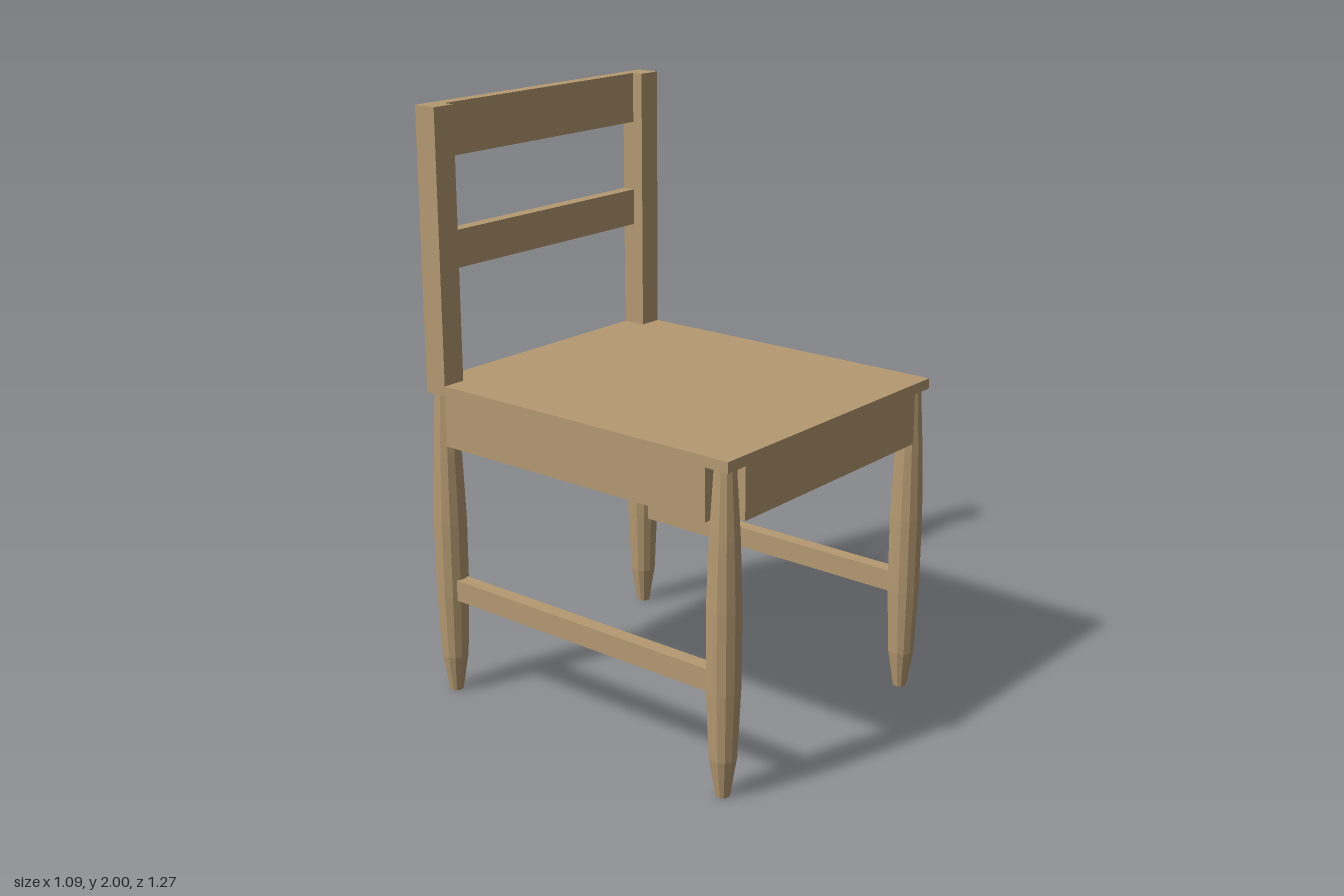
import * as THREE from 'three';

export function createModel() {
  const model = new THREE.Group();
  model.name = 'chair';
  const wood = new THREE.MeshStandardMaterial({ color: 0xb59a72 });
  wood.name = 'light wood';
  wood.flatShading = true;

  // Box given by its lower and upper corners
  const board = (name, [x0, y0, z0], [x1, y1, z1]) => {
    const mesh = new THREE.Mesh(new THREE.BoxGeometry(x1 - x0, y1 - y0, z1 - z0), wood);
    mesh.position.set((x0 + x1) / 2, (y0 + y1) / 2, (z0 + z1) / 2);
    mesh.name = name;
    model.add(mesh);
  };

  const W = 0.535, D = 0.622;           // half width and half depth of the seat
  const inX = 0.452, inZ = 0.538;       // inner limits of the corner posts
  const T = 0.045;                      // board thickness
  const seatY = 1.065, apronY = 0.895;

  // Seat
  board('seat', [-W, seatY, -D], [W, 1.1, D]);

  // Aprons, flush with the seat edges
  board('frontApron', [-inX, apronY, D - T], [inX, seatY, D]);
  board('backApron', [-inX, apronY, -D], [inX, seatY, -D + T]);
  board('leftApron', [W - T, apronY, -inZ], [W, seatY, inZ]);
  board('rightApron', [-W, apronY, -inZ], [-W + T, seatY, inZ]);

  // Backrest
  board('leftBackPost', [inX, 1.1, -D], [W, 2, -inZ]);
  board('rightBackPost', [-W, 1.1, -D], [-inX, 2, -inZ]);
  board('topRail', [-inX, 1.83, -D], [inX, 2, -D + T]);
  board('middleRail', [-inX, 1.465, -D], [inX, 1.59, -D + T]);

  // Turned legs
  const profile = [
    [0, 0], [0.023, 0], [0.044, 0.13], [0.054, 0.36], [0.055, 0.62],
    [0.047, 0.85], [0.034, seatY], [0, seatY],
  ].map(([r, y]) => new THREE.Vector2(r, y));
  const legGeometry = new THREE.LatheGeometry(profile, 12, Math.PI / 12);
  for (const sx of [1, -1]) {
    const side = sx > 0 ? 'left' : 'right';
    for (const sz of [1, -1]) {
      const leg = new THREE.Mesh(legGeometry, wood);
      leg.name = side + (sz > 0 ? 'FrontLeg' : 'BackLeg');
      leg.position.set(sx * 0.494, 0, sz * 0.58);
      model.add(leg);
    }
    // Side stretcher between the legs
    const x = sx * 0.494;
    board(side + 'Stretcher', [x - 0.025, 0.345, -0.55], [x + 0.025, 0.418, 0.55]);
  }
  return model;
}
